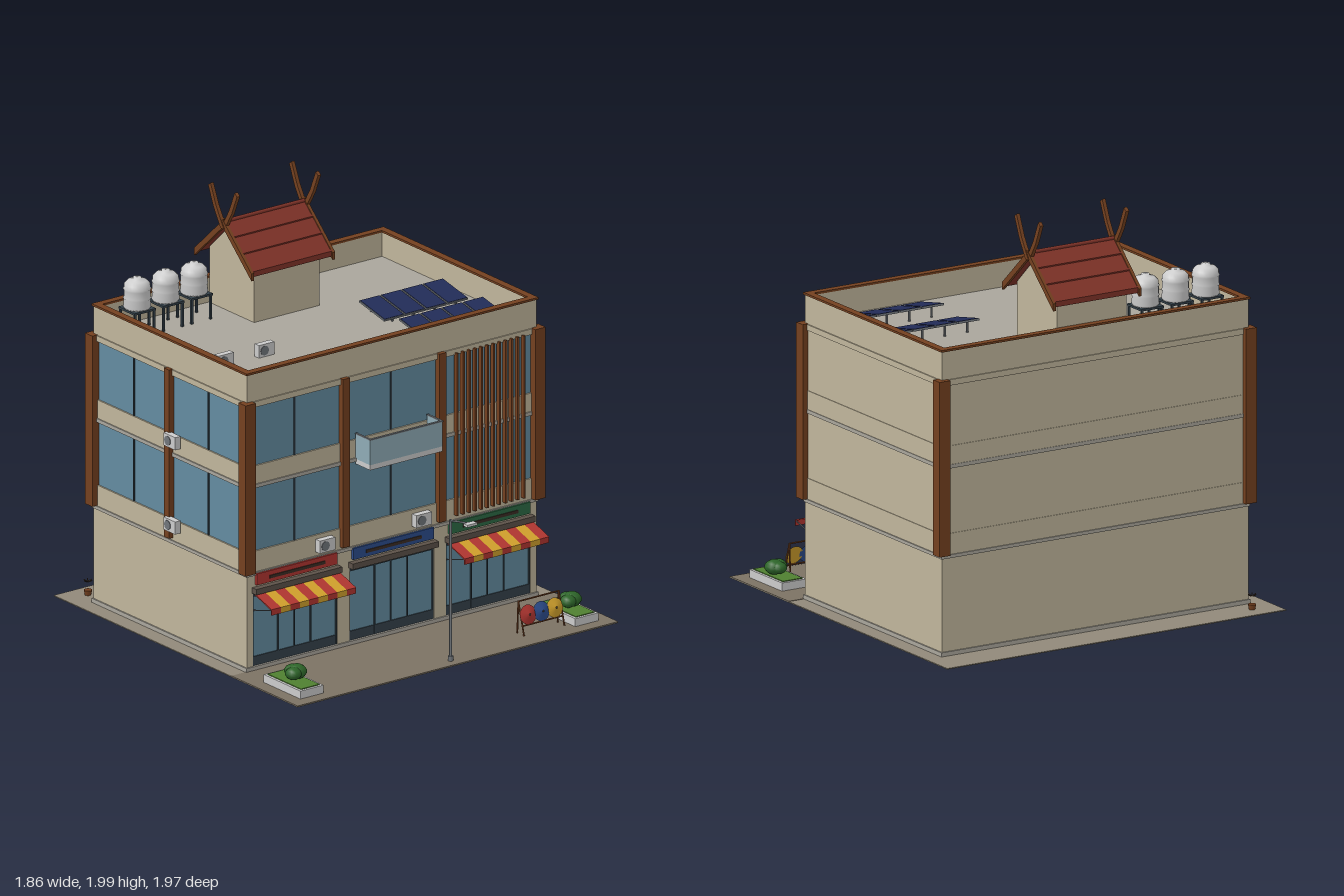
import * as THREE from 'three';

const C = { wall: 0xc0b59b, slab: 0xaaa69c, roof: 0xa9a59c, wood: 0x74401f, dark: 0x3a2c24, glass: 0x638ba0,
  frame: 0x34414a, metal: 0x70757a, pale: 0xcccccc, tile: 0x803328, red: 0xb03530, yellow: 0xd0a02c,
  blue: 0x2c4c8c, green: 0x2c6a44, leaf: 0x2c6428, grass: 0x4f8030, solar: 0x222c58 };
const mats = {};
const mat = (c) => (mats[c] ??= new THREE.MeshStandardMaterial({ color: c, side: THREE.DoubleSide }));

function add(parent, name, geo, color, x = 0, y = 0, z = 0) {
  const m = new THREE.Mesh(geo, mat(color));
  m.name = name;
  m.position.set(x, y, z);
  parent.add(m);
  return m;
}
// box given by its limits
function box(parent, name, color, x0, x1, y0, y1, z0, z1) {
  return add(parent, name, new THREE.BoxGeometry(x1 - x0, y1 - y0, z1 - z0), color, (x0 + x1) / 2, (y0 + y1) / 2, (z0 + z1) / 2);
}
// round bar between two points
function bar(parent, name, color, a, b, r, sides = 8) {
  const p = new THREE.Vector3(...a), q = new THREE.Vector3(...b), d = q.clone().sub(p);
  const m = add(parent, name, new THREE.CylinderGeometry(r, r, d.length(), sides), color);
  m.position.copy(p).add(q).multiplyScalar(0.5);
  m.quaternion.setFromUnitVectors(new THREE.Vector3(0, 1, 0), d.normalize());
  return m;
}
// board extruded along x from a z/y outline
function profileX(parent, name, color, pts, x0, x1) {
  const shape = new THREE.Shape(pts.map(([z, y]) => new THREE.Vector2(-z, y)));
  const m = add(parent, name, new THREE.ExtrudeGeometry(shape, { depth: x1 - x0, bevelEnabled: false }), color, x0);
  m.rotation.y = Math.PI / 2;
  return m;
}
function group(parent, name, x = 0, y = 0, z = 0) {
  const g = new THREE.Group();
  g.name = name;
  g.position.set(x, y, z);
  parent.add(g);
  return g;
}
// air conditioner facing +z, standing on its origin
function airCon(parent, x, y, z, turn = 0) {
  const g = group(parent, 'airConditioner', x, y, z);
  g.rotation.y = turn;
  box(g, 'acCase', C.pale, -0.045, 0.045, 0, 0.062, 0, 0.032);
  add(g, 'acFan', new THREE.CylinderGeometry(0.023, 0.023, 0.004, 16), C.metal, -0.012, 0.031, 0.033).rotation.x = Math.PI / 2;
}

function buildShell(root) {
  const g = group(root, 'building');
  box(g, 'core', C.wall, -0.825, 0.84, 0.035, 1.37, -0.8, 0.355);
  box(g, 'plinth', C.slab, -0.847, 0.847, 0.035, 0.055, -0.807, 0.377);
  box(g, 'roofDeck', C.roof, -0.82, 0.82, 1.37, 1.375, -0.78, 0.35);
  // solid bands on the two glazed faces
  for (const [a, b] of [[0.41, 0.62], [0.93, 1.04], [1.33, 1.37]]) {
    box(g, 'frontBand', C.wall, -0.84, 0.84, a, b, 0.35, 0.37);
    box(g, 'sideBand', C.wall, -0.84, -0.82, a, b, -0.8, 0.37);
  }
  box(g, 'sideBase', C.wall, -0.84, -0.82, 0.04, 0.42, -0.8, 0.37);
  for (const [a, b] of [[-0.84, -0.805], [-0.315, -0.245], [0.245, 0.315], [0.805, 0.84]])
    box(g, 'shopPier', C.wall, a, b, 0.04, 0.42, 0.35, 0.37);
  for (const [a, b] of [[0.502, 0.518], [0.932, 0.95], [1.33, 1.358]])
    box(g, 'floorSlab', b > 1 ? C.wall : C.slab, -0.846, 0.846, a, b, -0.806, 0.376);
  for (const y of [0.62, 1.04]) {
    box(g, 'sillLine', C.wall, 0.83, 0.843, y - 0.1, y, -0.803, 0.37);
    box(g, 'sillLine', C.wall, -0.84, 0.843, y - 0.1, y, -0.803, -0.79);
  }
  // parapet walls and wooden coping
  for (const [n, c, y0, y1, o, w] of [['parapet', C.wall, 1.36, 1.495, 0, 0.025], ['coping', C.wood, 1.495, 1.505, 0.007, 0.037]])
    for (const s of [1, -1]) {
      const xo = s * (0.84 + o), xi = xo - s * w, zo = s * (0.585 + o) - 0.215, zi = zo - s * w;
      box(g, n, c, Math.min(xo, xi), Math.max(xo, xi), y0, y1, -0.8 - o, 0.37 + o);
      box(g, n, c, -0.84 - o + w, 0.84 + o - w, y0, y1, Math.min(zo, zi), Math.max(zo, zi));
    }
  // wooden columns
  for (const s of [-1, 1]) {
    for (const z of [-0.798, 0.372])
      box(g, 'cornerColumn', C.wood, s * 0.84 - 0.03, s * 0.84 + 0.03, 0.52, 1.36, z - 0.028, z + 0.028);
    box(g, 'frontPilaster', C.wood, s * 0.28 - 0.02, s * 0.28 + 0.02, 0.53, 1.36, 0.35, 0.392);
  }
  box(g, 'sidePilaster', C.wood, -0.862, -0.82, 0.53, 1.36, -0.235, -0.195);
  // upper windows
  for (const [a, b] of [[0.62, 0.932], [1.04, 1.33]]) {
    for (const x of [-0.56, 0, 0.56]) {
      box(g, 'frontWindow', C.glass, x - 0.26, x + 0.26, a, b, 0.354, 0.362);
      box(g, 'mullion', C.frame, x - 0.004, x + 0.004, a, b, 0.36, 0.367);
    }
    for (const z of [-0.5, 0.07]) {
      box(g, 'sideWindow', C.glass, -0.832, -0.824, a, b, z - 0.27, z + 0.27);
      box(g, 'mullion', C.frame, -0.837, -0.83, a, b, z - 0.004, z + 0.004);
    }
  }
  for (let i = 0; i < 12; i++) {
    const x = 0.367 + i * 0.0352;
    box(g, 'sunFin', C.wood, x - 0.005, x + 0.005, 0.54, 1.34, 0.37, 0.392);
  }
  // glazed balcony
  const b = group(g, 'balcony');
  box(b, 'balconyFloor', C.pale, -0.21, 0.21, 0.92, 0.945, 0.37, 0.482);
  box(b, 'balconyGlassFront', 0x8eabb5, -0.21, 0.21, 0.945, 1.066, 0.476, 0.482);
  box(b, 'balconyRail', C.metal, -0.212, 0.212, 1.066, 1.072, 0.473, 0.485);
  for (const s of [-1, 1]) {
    box(b, 'balconyGlassSide', 0x8eabb5, s * 0.207 - 0.003, s * 0.207 + 0.003, 0.945, 1.066, 0.37, 0.477);
    box(b, 'balconySideRail', C.metal, s * 0.207 - 0.005, s * 0.207 + 0.005, 1.066, 1.072, 0.37, 0.477);
  }
  airCon(g, -0.40, 0.54, 0.375);
  airCon(g, 0.16, 0.54, 0.375);
  for (const y of [0.575, 0.99]) airCon(g, -0.848, y, -0.17, -Math.PI / 2);
}

function buildShop(root, x, signColor, awning) {
  const g = group(root, 'shop', x);
  box(g, 'shopGlass', C.glass, -0.245, 0.245, 0.055, 0.41, 0.354, 0.36);
  box(g, 'kickPlate', C.frame, -0.245, 0.245, 0.055, 0.1, 0.358, 0.365);
  box(g, 'transom', C.frame, -0.245, 0.245, 0.395, 0.403, 0.358, 0.366);
  for (const m of [-0.242, -0.095, 0, 0.095, 0.242]) box(g, 'doorFrame', C.frame, m - 0.003, m + 0.003, 0.055, 0.41, 0.358, 0.366);
  box(g, 'shutterBox', 0x5c5148, -0.25, 0.25, 0.416, 0.444, 0.36, 0.402);
  box(g, 'signBoard', signColor, -0.233, 0.233, 0.456, 0.512, 0.365, 0.386);
  box(g, 'signStrip', C.dark, -0.16, 0.16, 0.475, 0.49, 0.38, 0.39);
  if (!awning) return;
  const w = 0.49 / 9;
  for (let i = 0; i < 9; i++) {
    const a = -0.245 + i * w;
    profileX(g, 'awningStripe', i % 2 ? C.yellow : C.red,
      [[0.38, 0.418], [0.513, 0.376], [0.513, 0.347], [0.509, 0.347], [0.509, 0.371], [0.38, 0.412]], a, a + w);
  }
  for (const s of [-1, 1]) bar(g, 'awningStrut', C.metal, [s * 0.24, 0.33, 0.37], [s * 0.24, 0.37, 0.508], 0.003);
}

function buildRoofHouse(root) {
  const g = group(root, 'roofHouse');
  profileX(g, 'houseWalls', C.wall, [[-0.43, 1.37], [-0.43, 1.65], [-0.6, 1.81], [-0.77, 1.65], [-0.77, 1.37]], -0.19, 0.19);
  for (const s of [-1, 1]) {
    const at = (t, up) => [-0.6 + s * 0.213 * t, 1.815 - 0.195 * t + up];
    profileX(g, 'roofSlope', C.tile, [at(0, 0), at(0, 0.02), at(1, 0.02), at(1, 0)], -0.232, 0.232);
    for (const t of [0.3, 0.62, 0.97])
      profileX(g, 'tileCourse', C.tile, [at(t, 0.018), at(t, 0.026), at(t + 0.03, 0.026), at(t + 0.03, 0.018)], -0.232, 0.232);
    for (const e of [-0.235, 0.235]) {
      profileX(g, 'bargeBoard', C.wood, [at(-0.03, -0.01), at(-0.03, 0.026), at(1.03, 0.026), at(1.03, -0.01)], e - 0.008, e + 0.008);
      // crossing horn, slightly curved
      profileX(g, 'gableHorn', C.wood, [[-0.6 - s * 0.015, 1.8], [-0.6 + s * 0.045, 1.9], [-0.6 + s * 0.088, 2],
        [-0.6 + s * 0.106, 1.985], [-0.6 + s * 0.066, 1.89], [-0.6 + s * 0.012, 1.8]], e - 0.009 + s * 0.003, e + 0.009 + s * 0.003);
    }
  }
  bar(g, 'ridge', C.tile, [-0.235, 1.833, -0.6], [0.235, 1.833, -0.6], 0.01);
}

function buildRoofEquipment(root) {
  // water tanks on legged stands
  const outline = [[0, 0], [0.06, 0], [0.065, 0.008], [0.062, 0.045], [0.066, 0.05], [0.062, 0.055], [0.062, 0.09], [0.066, 0.095],
    [0.062, 0.1], [0.061, 0.118], [0.045, 0.135], [0.02, 0.141], [0.02, 0.15], [0, 0.15]].map(([r, y]) => new THREE.Vector2(r, y));
  for (const x of [-0.705, -0.54, -0.375]) {
    const t = group(root, 'waterTank', x, 1.37, -0.645);
    add(t, 'tank', new THREE.LatheGeometry(outline, 24), C.pale, 0, 0.132);
    box(t, 'standTop', C.frame, -0.062, 0.062, 0.122, 0.132, -0.062, 0.062);
    for (const a of [-0.055, 0.055]) for (const b of [-0.055, 0.055])
      box(t, 'standLeg', C.frame, a - 0.005, a + 0.005, 0, 0.125, b - 0.005, b + 0.005);
  }
  // tilted solar panels
  for (const z of [-0.14, 0.165]) for (let i = 0; i < 4; i++) {
    const p = group(root, 'solarPanel', 0.33 + i * 0.123, 1.415, z);
    p.rotation.x = 0.2;
    box(p, 'panelFrame', C.metal, -0.058, 0.058, -0.006, 0.003, -0.098, 0.098);
    box(p, 'panelCells', C.solar, -0.055, 0.055, 0, 0.005, -0.095, 0.095);
    for (const s of [-1, 1]) box(root, 'panelLeg', C.metal, p.position.x - 0.004, p.position.x + 0.004, 1.37, 1.412 - s * 0.016, z + s * 0.08 - 0.004, z + s * 0.08 + 0.004);
  }
  for (const x of [-0.65, -0.415]) airCon(root, x, 1.375, -0.07);
}

function buildStreet(root) {
  box(root, 'ground', 0x91897a, -0.93, 0.93, 0.03, 0.035, -0.985, 0.875);
  box(root, 'pavement', 0x7c7263, -0.93, 0.93, 0.032, 0.037, 0.37, 0.875);
  // planters
  for (const s of [-1, 1]) {
    const p = group(root, 'planter', s * 0.797, 0, 0.67);
    box(p, 'planterBox', C.pale, -0.067, 0.067, 0.035, 0.076, -0.14, 0.14);
    box(p, 'grass', C.grass, -0.054, 0.054, 0.07, 0.08, -0.127, 0.127);
    for (const [dx, dz, r] of [[0.02, 0, 0.047], [-0.012, 0.015, 0.04], [0.01, -0.025, 0.038]])
      add(p, 'bush', new THREE.SphereGeometry(r, 10, 7), C.leaf, dx, 0.114, dz).scale.y = 0.75;
  }
  // street lamp
  const l = group(root, 'streetLamp');
  bar(l, 'lampBase', C.metal, [0, 0.035, 0.82], [0, 0.06, 0.82], 0.013);
  bar(l, 'lampPole', C.metal, [0, 0.035, 0.82], [0, 0.73, 0.82], 0.007);
  bar(l, 'lampArm', C.metal, [0, 0.725, 0.82], [0, 0.753, 0.96], 0.005);
  box(l, 'lampHead', C.pale, -0.029, 0.029, 0.745, 0.757, 0.955, 0.985);
  // leaning rack with coloured discs
  const r = group(root, 'displayRack', 0.583, 0.037, 0.755);
  for (const s of [-1, 1]) {
    bar(r, 'rackPost', C.wood, [s * 0.117, 0, 0.012], [s * 0.117, 0.16, -0.032], 0.004);
    bar(r, 'rackProp', C.wood, [s * 0.117, 0, -0.04], [s * 0.117, 0.16, -0.032], 0.004);
  }
  for (const [y, z] of [[0.158, -0.032], [0.045, 0]]) bar(r, 'rackRail', C.wood, [-0.117, y, z], [0.117, y, z], 0.004);
  [C.red, C.blue, C.yellow].forEach((c, i) => {
    const d = add(r, 'disc', new THREE.ConeGeometry(0.047, 0.016, 16), c, -0.077 + i * 0.077, 0.093, -0.002);
    d.rotation.x = Math.PI / 2 - 0.27;
    add(d, 'discHub', new THREE.SphereGeometry(0.005, 8, 6), C.dark, 0, 0.008, 0);
  });
  // small potted plant behind the building
  const p = group(root, 'smallPlant', -0.8, 0, -0.895);
  add(p, 'pot', new THREE.CylinderGeometry(0.02, 0.014, 0.03, 10), C.wood, 0, 0.045);
  for (let i = 0; i < 6; i++) {
    const a = i * Math.PI / 3, c = Math.cos(a), s = Math.sin(a);
    bar(p, 'root', i % 2 ? C.leaf : C.wood, [0, 0.035, 0], [c * 0.025, 0.012, s * 0.025], 0.004, 5);
    bar(p, 'leafTip', C.dark, [c * 0.006, 0.1, s * 0.006], [c * 0.02, 0.108, s * 0.02], 0.003, 5);
  }
}

export function createModel() {
  const root = new THREE.Group();
  root.name = 'shopBuilding';
  buildShell(root);
  buildShop(root, -0.56, C.red, true);
  buildShop(root, 0, C.blue, false);
  buildShop(root, 0.56, C.green, true);
  buildRoofHouse(root);
  buildRoofEquipment(root);
  buildStreet(root);
  return root;
}
